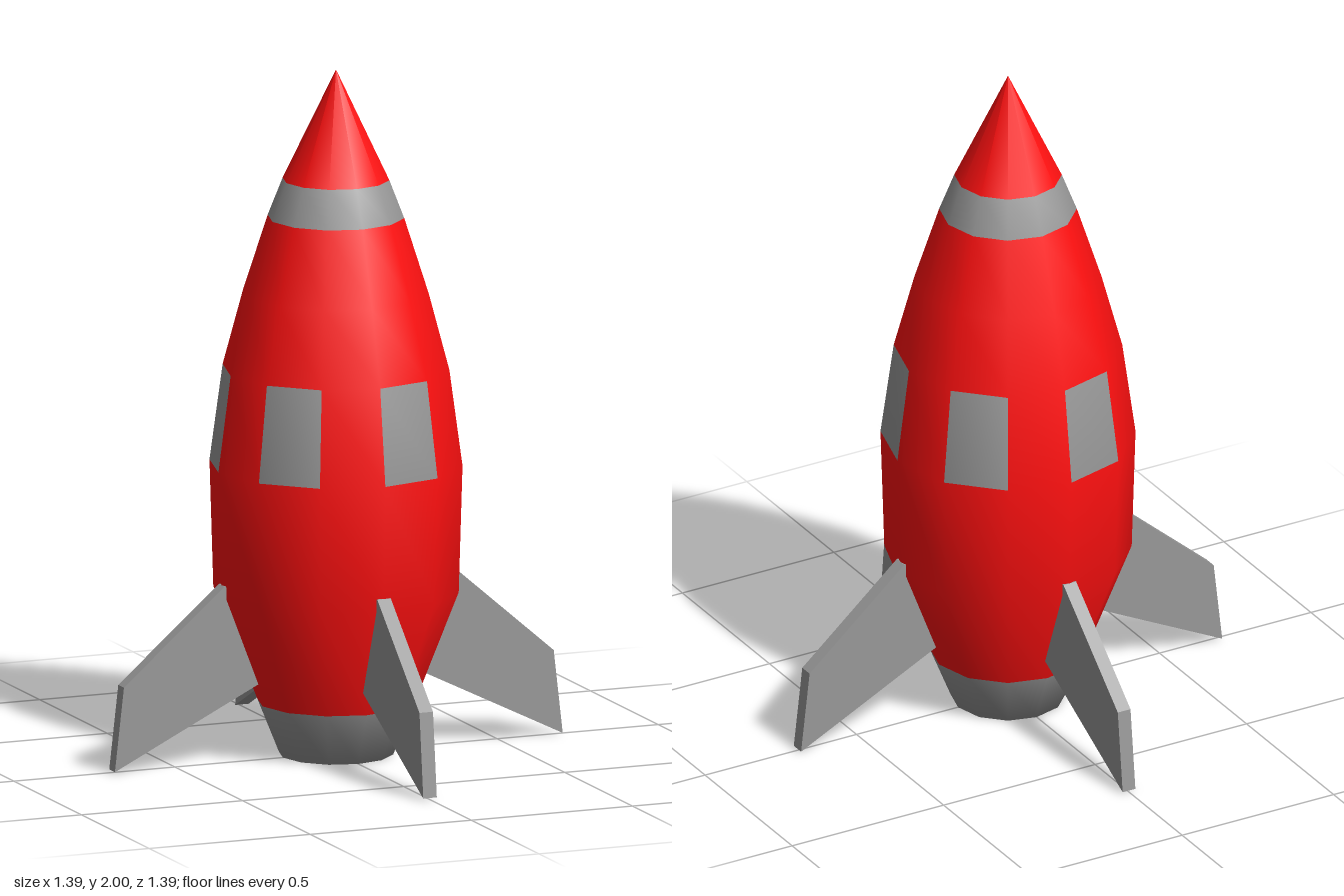
import * as THREE from 'three';

const SIDES = 12;
const red = new THREE.MeshStandardMaterial({ color: 0xff1010 });
const grey = new THREE.MeshStandardMaterial({ color: 0x999999 });

// Hull profile as [radius, height], from the centre of the base to the tip
const PROFILE = [
  [0, 0], [0.165, 0], [0.228, 0.155], [0.354, 0.48], [0.365, 0.85],
  [0.327, 1.13], [0.268, 1.35], [0.197, 1.57], [0.154, 1.68], [0, 2],
];
// Profile rows that carry a colour other than the hull's
const TAIL_ROW = 1, WINDOW_ROW = 4, NOSE_BAND_ROW = 7;

// Part of the hull lathe: keeps the facets accepted by test(row, side), with shared smooth normals
function hullPart(lathe, name, material, test) {
  const rows = PROFILE.length - 1;
  const index = [];
  for (let side = 0; side < SIDES; side++) {
    for (let row = 0; row < rows; row++) {
      if (!test(row, side)) continue;
      const start = (side * rows + row) * 6;
      for (let k = 0; k < 6; k++) index.push(lathe.index.getX(start + k));
    }
  }
  const geometry = lathe.clone();
  geometry.setIndex(index);
  const mesh = new THREE.Mesh(geometry, material);
  mesh.name = name;
  return mesh;
}

export function createModel() {
  const model = new THREE.Group();
  model.name = 'rocket';

  // Hull, bands and windows share one twelve-sided lathe
  const lathe = new THREE.LatheGeometry(PROFILE.map(([r, y]) => new THREE.Vector2(r, y)), SIDES);
  const isBand = (row) => row === TAIL_ROW || row === NOSE_BAND_ROW;
  const isWindow = (row, side) => row === WINDOW_ROW && side % 2 === 0;
  model.add(
    hullPart(lathe, 'hull', red, (row, side) => !isBand(row) && !isWindow(row, side)),
    hullPart(lathe, 'tailBand', grey, (row) => row === TAIL_ROW),
    hullPart(lathe, 'noseBand', grey, (row) => row === NOSE_BAND_ROW),
    hullPart(lathe, 'windows', grey, isWindow),
  );

  // Four swept fins, rooted just inside the hull
  const outline = [[0.24, 0.23], [0.695, 0.005], [0.667, 0.25], [0.355, 0.52], [0.335, 0.52]];
  const shape = new THREE.Shape(outline.map(([x, y]) => new THREE.Vector2(x, y)));
  const finGeometry = new THREE.ExtrudeGeometry(shape, { depth: 0.042, bevelEnabled: false });
  finGeometry.translate(0, 0, -0.021);
  ['leftFin', 'backFin', 'rightFin', 'frontFin'].forEach((name, i) => {
    const fin = new THREE.Mesh(finGeometry, grey);
    fin.name = name;
    fin.rotation.y = (i * Math.PI) / 2;
    model.add(fin);
  });

  return model;
}
